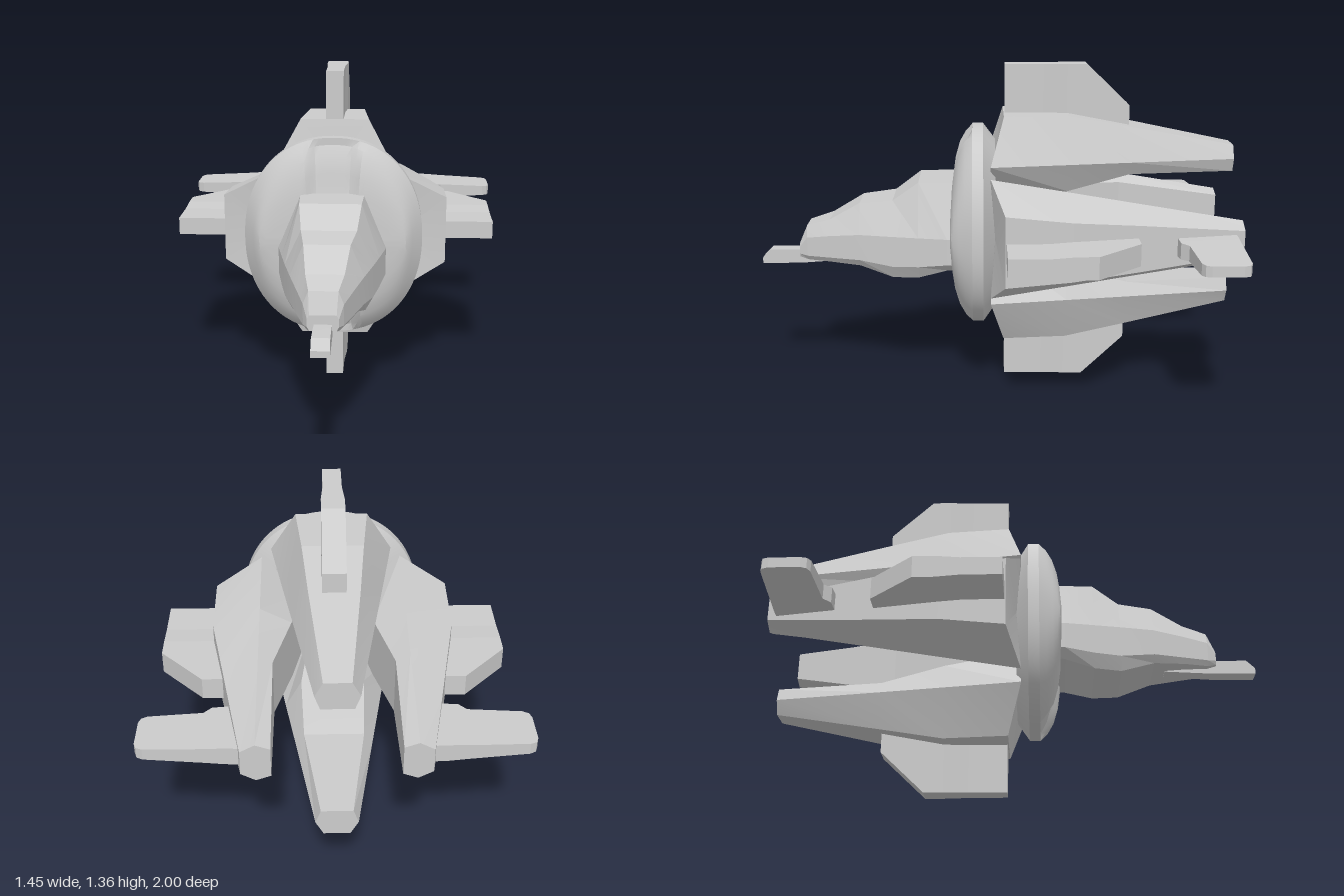
import * as THREE from 'three';
import { toCreasedNormals } from 'three/addons/utils/BufferGeometryUtils.js';

const AXIS_Y = 0.688; // height of the long axis of the craft
const material = new THREE.MeshStandardMaterial({ color: 0xcccccc });

// Skin between counter-clockwise loops of points ordered from low z to high z, capped at both ends
function loft(loops, crease = 0.35) {
  const n = loops[0].length;
  const points = loops.flat();
  const index = [];
  for (let i = 0; i < loops.length - 1; i++) {
    for (let j = 0; j < n; j++) {
      const a = i * n + j, b = i * n + (j + 1) % n;
      index.push(a, b, b + n, a, b + n, a + n);
    }
  }
  [0, loops.length - 1].forEach((row, end) => {
    const center = [0, 1, 2].map(k => loops[row].reduce((sum, p) => sum + p[k], 0) / n);
    const c = points.push(center) - 1;
    for (let j = 0; j < n; j++) {
      const a = row * n + j, b = row * n + (j + 1) % n;
      if (end) index.push(c, a, b); else index.push(c, b, a);
    }
  });
  const geometry = new THREE.BufferGeometry();
  geometry.setAttribute('position', new THREE.Float32BufferAttribute(points.flat(), 3));
  geometry.setIndex(index);
  return toCreasedNormals(geometry, crease);
}

function part(name, geometry, parent) {
  const mesh = new THREE.Mesh(geometry, material);
  mesh.name = name;
  parent.add(mesh);
  return mesh;
}

// Rectangle loop
const rect = (x0, x1, y0, y1, z) => [[x1, y0, z], [x1, y1, z], [x0, y1, z], [x0, y0, z]];

// Tapered six-sided pod; y is the distance from the axis
function podGeometry() {
  // z of wide edge, z of outer face, inner radius, outer radius, inner / wide / outer half widths
  const stations = [
    [-1, -1, 0.235, 0.345, 0.06, 0.08, 0.05],
    [-0.56, -0.56, 0.235, 0.43, 0.12, 0.153, 0.096],
    [-0.3, -0.3, 0.165, 0.48, 0.13, 0.197, 0.12],
    [0.02, -0.035, 0.08, 0.48, 0.08, 0.25, 0.145],
  ];
  return loft(stations.map(([z, zo, ri, ro, hi, hw, ho]) => [
    [hi, ri, z], [hw, 0.29, z], [ho, ro, zo],
    [-ho, ro, zo], [-hw, 0.29, z], [-hi, ri, z],
  ]), 0.15);
}

// Fin standing on a pod, with a clipped rear corner
function finGeometry() {
  const stations = [[-0.56, 0.51, 0.045], [-0.38, 0.682, 0.045], [-0.3, 0.682, 0.045],
    [-0.2, 0.682, 0.037], [-0.04, 0.682, 0.037]];
  return loft(stations.map(([z, r, h]) => rect(-h, h, 0.38, r, z)), 0.03);
}

// Thin rear wing, lofted outward along +x
function wingGeometry() {
  // x, rear z, front z, half thickness
  const stations = [[0.26, -0.967, -0.72, 0.036], [0.4, -0.962, -0.72, 0.036],
    [0.46, -0.958, -0.722, 0.033], [0.49, -0.957, -0.75, 0.031],
    [0.695, -0.945, -0.757, 0.023], [0.718, -0.935, -0.768, 0.022], [0.727, -0.91, -0.79, 0.021]];
  return loft(stations.map(([x, rear, front, h]) => rect(-front, -rear, -h, h, x)), 0.2)
    .rotateY(Math.PI / 2);
}

// Rounded disc between nose and pods, with a shallow channel above and below the nose
function discGeometry() {
  const rings = [[0, 0.27, 0.36], [0.05, 0.375, 0.425], [0.095, 0.375, 0.425],
    [0.125, 0.352, 0.395], [0.15, 0.333, 0.35], [0.17, 0.318, 0.28], [0.18, 0.305, 0.2], [0.186, 0.28, 0.1]];
  const sides = 96;
  const power = v => Math.sign(v) * Math.abs(v) ** 0.92;
  return loft(rings.map(([z, rx, ry]) => Array.from({ length: sides }, (_, j) => {
    const t = j / sides * Math.PI * 2;
    const x = rx * power(Math.cos(t)), y = ry * power(Math.sin(t));
    const inChannel = z > 0.1 && Math.abs(y) > 0.15;
    const depth = inChannel ? 0.03 * THREE.MathUtils.clamp((0.115 - Math.abs(x)) / 0.04, 0, 1) : 0;
    return [x, y, z - depth];
  })), 0.4);
}

// Faceted nose
function noseGeometry() {
  // z, top y, top half width, shoulder y, side half width, chin y, bottom y, bottom half width
  const stations = [
    [0.08, 0.89, 0.13, 0.67, 0.228, 0.56, 0.53, 0.18],
    [0.2, 0.89, 0.13, 0.67, 0.222, 0.56, 0.525, 0.18],
    [0.32, 0.89, 0.125, 0.67, 0.198, 0.545, 0.49, 0.165],
    [0.43, 0.81, 0.11, 0.67, 0.175, 0.54, 0.485, 0.145],
    [0.57, 0.795, 0.09, 0.67, 0.143, 0.56, 0.53, 0.12],
    [0.7, 0.72, 0.073, 0.655, 0.105, 0.56, 0.538, 0.09],
    [0.8, 0.69, 0.055, 0.64, 0.075, 0.56, 0.54, 0.06],
    [0.835, 0.61, 0.05, 0.595, 0.058, 0.565, 0.55, 0.05],
  ];
  return loft(stations.map(([z, ty, th, my, mh, cy, by, bh]) => [
    [bh, by, z], [mh, cy, z], [mh, my, z], [th, ty, z],
    [-th, ty, z], [-mh, my, z], [-mh, cy, z], [-bh, by, z],
  ]), 0.12);
}

// Small probe under the nose tip
function probeGeometry() {
  const stations = [[0.62, 0.53, 0.56, 0.03], [0.82, 0.517, 0.575, 0.033],
    [0.965, 0.515, 0.575, 0.034], [1, 0.515, 0.54, 0.034]];
  return loft(stations.map(([z, y0, y1, h]) => rect(-h, h, y0, y1, z)), 0.1);
}

export function createModel() {
  const model = new THREE.Group();
  model.name = 'spacecraft';

  part('nose', noseGeometry(), model);
  part('noseProbe', probeGeometry(), model);
  part('centralDisc', discGeometry(), model).position.y = AXIS_Y;

  // Four pods with fins around the axis
  const pod = podGeometry(), fin = finGeometry(), wing = wingGeometry();
  ['top', 'right', 'bottom', 'left'].forEach((side, k) => {
    const group = new THREE.Group();
    group.name = side + 'Pod';
    group.position.y = AXIS_Y;
    group.rotation.z = k * Math.PI / 2;
    part(side + 'PodBody', pod, group);
    part(side + 'Fin', fin, group);
    model.add(group);
  });

  // Rear wings on the two side pods
  ['left', 'right'].forEach((side, k) => {
    const mesh = part(side + 'RearWing', wing, model);
    mesh.position.y = AXIS_Y;
    mesh.rotation.z = k * Math.PI;
  });

  return model;
}
